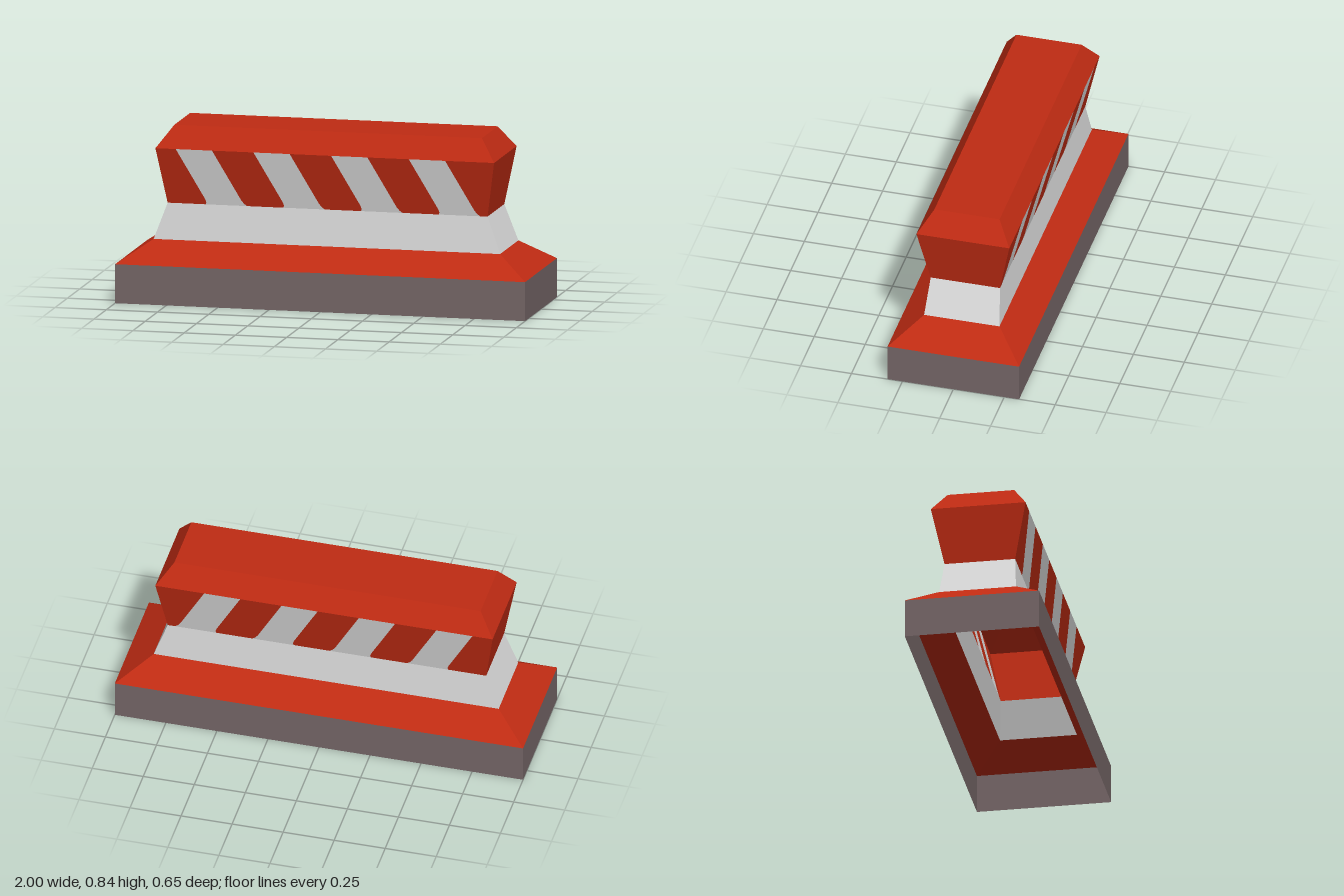
import * as THREE from 'three';

const material = (name, color) => {
  const m = new THREE.MeshStandardMaterial({ color, side: THREE.DoubleSide });
  m.name = name;
  return m;
};

// Rectangular outlines from the ground up: half width, half depth, height
const FOOT = [1, 0.323, 0];
const LEDGE = [1, 0.323, 0.188];
const WAIST_LOW = [0.845, 0.185, 0.292];
const WAIST_TOP = [0.78, 0.17, 0.467];
const BROW = [0.826, 0.228, 0.738];
const CROWN = [0.75, 0.16, 0.842];

const corners = ([w, d, y]) => [[w, y, d], [w, y, -d], [-w, y, -d], [-w, y, d]];

// Flat-shaded surface made of four-cornered faces
function quadGeometry(quads) {
  const points = quads.flatMap(([a, b, c, d]) => [a, b, c, a, c, d]);
  const geometry = new THREE.BufferGeometry();
  geometry.setAttribute('position', new THREE.Float32BufferAttribute(points.flat(), 3));
  geometry.computeVertexNormals();
  return geometry;
}

// Sloping walls between two outlines; sides 0 and 2 are the ends
function walls(low, high, sides = [0, 1, 2, 3]) {
  const a = corners(low), b = corners(high);
  return sides.map((i) => {
    const j = (i + 1) % 4;
    return [a[i], a[j], b[j], b[i]];
  });
}

export function createModel() {
  const group = new THREE.Group();
  const red = material('red', 0xbf2b13);
  const white = material('offWhite', 0xdcdcdc);
  const grey = material('warmGrey', 0x756667);
  const add = (name, quads, mat) => {
    const mesh = new THREE.Mesh(quadGeometry(quads), mat);
    mesh.name = name;
    group.add(mesh);
  };

  // Hollow foot, open underneath
  add('base', walls(FOOT, LEDGE), grey);
  add('baseSlope', walls(LEDGE, WAIST_LOW), red);
  add('waist', walls(WAIST_LOW, WAIST_TOP), white);
  add('upperEnds', walls(WAIST_TOP, BROW, [0, 2]), red);
  add('capSlope', walls(BROW, CROWN), red);
  add('capTop', [corners(CROWN)], red);

  // Stripe borders, each running from top to bottom as x at four heights
  const heights = [BROW[2], 0.495, 0.478, WAIST_TOP[2]];
  const borders = [[-0.826, -0.785, -0.782, -0.78]];
  for (let i = 0; i < 4; i++) {
    const x = -0.727 + i * 0.379;
    borders.push([x, x + 0.13, x + 0.136, x + 0.132]);
    borders.push([x + 0.177, x + 0.307, x + 0.32, x + 0.335]);
  }
  borders.push([0.826, 0.785, 0.782, 0.78]);

  // Slanted stripes on both long faces, alternating red and white
  for (const side of [1, -1]) {
    const stripes = [[], []];
    const point = (x, y) => {
      const t = (y - WAIST_TOP[2]) / (BROW[2] - WAIST_TOP[2]);
      return [x, y, side * THREE.MathUtils.lerp(WAIST_TOP[1], BROW[1], t)];
    };
    for (let i = 0; i < borders.length - 1; i++) {
      const l = borders[i], r = borders[i + 1];
      for (let k = 0; k < 3; k++) {
        const quad = [
          point(l[k], heights[k]), point(l[k + 1], heights[k + 1]),
          point(r[k + 1], heights[k + 1]), point(r[k], heights[k]),
        ];
        stripes[i % 2].push(side > 0 ? quad : quad.reverse());
      }
    }
    const face = side > 0 ? 'front' : 'back';
    add(face + 'RedStripes', stripes[0], red);
    add(face + 'WhiteStripes', stripes[1], white);
  }
  return group;
}
